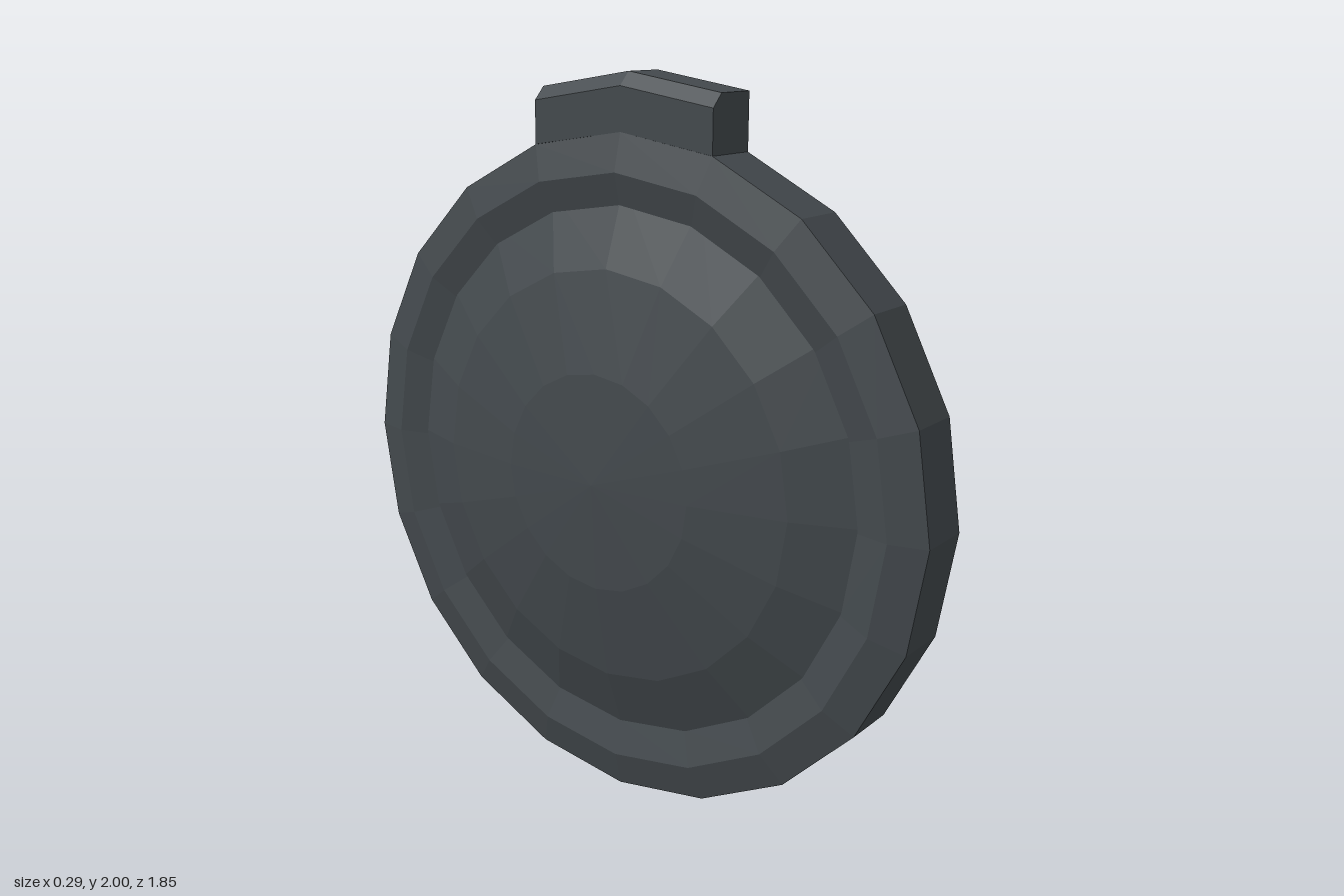
import * as THREE from 'three';

const SIDES = 20;
const HALF = 0.143; // half of the overall thickness along x

// Give every face its own flat normal
function faceted(geometry) {
  const g = geometry.index ? geometry.toNonIndexed() : geometry;
  g.computeVertexNormals();
  return g;
}

// Lathe around the x axis; profile is [radius, distance towards -x]
function disc(profile, centreY) {
  const g = new THREE.LatheGeometry(profile.map(([r, h]) => new THREE.Vector2(r, h)), SIDES);
  g.rotateZ(Math.PI / 2);
  g.translate(0, centreY, 0);
  return faceted(g);
}

export function createModel() {
  const group = new THREE.Group();
  const slate = new THREE.MeshStandardMaterial({ color: 0x444a4e });
  slate.name = 'slate grey';
  const add = (name, geometry) => {
    const mesh = new THREE.Mesh(geometry, slate);
    mesh.name = name;
    group.add(mesh);
  };

  // Flat plate with a raised, ridged rim
  add('plate', disc([
    [0, -HALF], [0.925, -HALF], [0.925, 0.015], [0.825, 0.04], [0.725, 0.015],
  ], 0.925));

  // Shallow dome: a squashed sphere cap set inside the rim
  const dome = [];
  for (let i = 3; i >= 0; i--) {
    const a = i * Math.PI / 10;
    dome.push([0.97 * Math.sin(a), HALF - 0.35 * (1 - Math.cos(a))]);
  }
  add('dome', disc(dome, 0.936));

  // Peaked tab on top, standing on the plate's edge
  const outline = new THREE.Shape([
    [-0.286, 1.805], [0, 1.85], [0.286, 1.805], [0.286, 1.955], [0, 2], [-0.286, 1.955],
  ].map(([z, y]) => new THREE.Vector2(z, y)));
  const depth = HALF + 0.015;
  const tab = new THREE.ExtrudeGeometry(outline, { depth, steps: 2, bevelEnabled: false });
  // Chamfer the top edge on the dome side
  const p = tab.attributes.position;
  for (let i = 0; i < p.count; i++) {
    const d = p.getZ(i);
    if (d > depth * 0.75) {
      if (p.getY(i) > 1.9) p.setY(i, p.getY(i) - 0.035);
    } else if (d > depth * 0.25) {
      p.setZ(i, depth - 0.035);
    }
  }
  tab.rotateY(-Math.PI / 2);
  tab.translate(HALF, 0, 0);
  add('tab', faceted(tab));

  return group;
}
